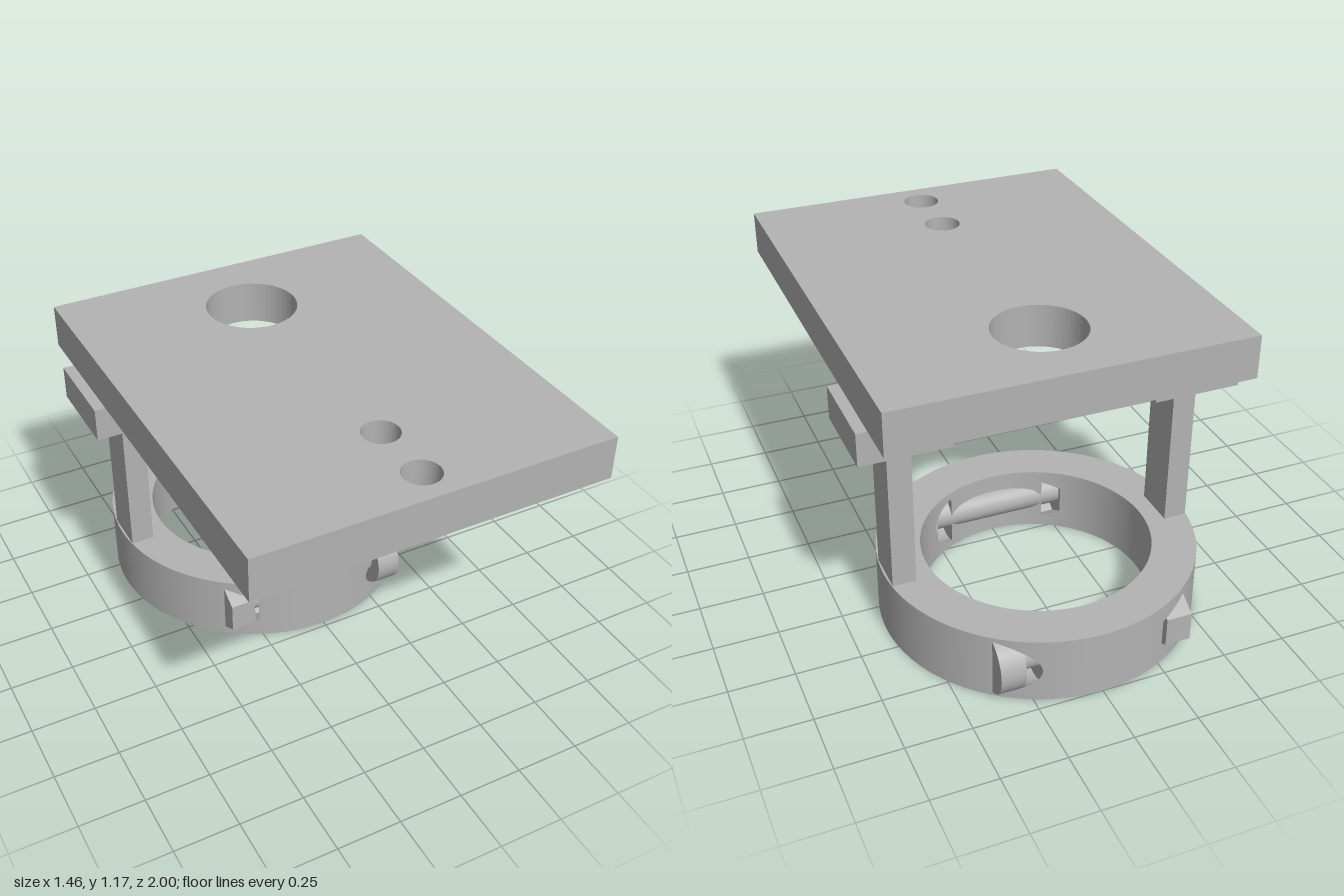
import * as THREE from 'three';

const R_OUT = 0.615, R_IN = 0.445, H = 0.264, MID = 0.132; // ring
const AXIS = 0.456;  // bolt axis distance from ring centre
const X_IN = 0.2, X_FACE = 0.28; // pocket floor, inner face of head and nut

// Bolt pockets: round at +x, hexagonal at -x; a = radius or apothem
const pockets = [
  { side: 1, a: 0.119, xOut: 0.376,
    half: d => Math.sqrt(Math.max(0, 0.119 ** 2 - d * d)),
    radius: () => 0.119 },
  { side: -1, a: 0.1, xOut: 0.38,
    half: d => 0.1155 - Math.abs(d) / Math.sqrt(3),
    radius: t => {
      const s = Math.PI / 3;
      return 0.1 / Math.cos(((t + s / 2) % s) - s / 2);
    } },
];
const chord = (R, z) => Math.sqrt(Math.max(0, R * R - z * z));

function fromTriangles(pos) {
  const g = new THREE.BufferGeometry();
  g.setAttribute('position', new THREE.Float32BufferAttribute(pos, 3));
  g.computeVertexNormals();
  return g;
}
const quad = (out, a, b, c, d) => out.push(...a, ...b, ...c, ...a, ...c, ...d);

// Cylindrical ring wall, built in columns that leave the pocket openings free
function wallGeometry(R, sign) {
  const spans = pockets.map(p => ({
    p, lo: Math.max(X_IN, chord(R, AXIS + p.a)), hi: Math.min(p.xOut, chord(R, AXIS - p.a)),
  }));
  const angles = [];
  for (let i = 0; i <= 96; i++) angles.push(-Math.PI + (i / 96) * 2 * Math.PI);
  for (const { p, lo, hi } of spans)
    for (let i = 0; i <= 24; i++) {
      const x = p.side * (lo + (hi - lo) * i / 24);
      for (const s of [1, -1]) angles.push(Math.atan2(x, s * chord(R, x)));
    }
  angles.sort((a, b) => a - b);
  const pos = [];
  const at = (t, y) => [R * Math.sin(t), y, R * Math.cos(t)];
  const strip = (t0, t1, a0, a1, b0, b1) => {
    const c = [at(t0, a0), at(t1, a1), at(t1, b1), at(t0, b0)];
    quad(pos, ...(sign > 0 ? c : c.reverse()));
  };
  for (let i = 0; i + 1 < angles.length; i++) {
    const t0 = angles[i], t1 = angles[i + 1];
    if (t1 - t0 < 1e-7) continue;
    const x = R * Math.sin((t0 + t1) / 2);
    const open = spans.find(s => x * s.p.side > s.lo && x * s.p.side < s.hi);
    if (!open) { strip(t0, t1, 0, 0, H, H); continue; }
    const h = t => Math.max(0, open.p.half(Math.abs(R * Math.cos(t)) - AXIS));
    strip(t0, t1, 0, 0, MID - h(t0), MID - h(t1));
    strip(t0, t1, MID + h(t0), MID + h(t1), H, H);
  }
  const g = fromTriangles(pos);
  const n = g.attributes.normal, v = g.attributes.position;
  for (let i = 0; i < n.count; i++) n.setXYZ(i, sign * v.getX(i) / R, 0, sign * v.getZ(i) / R);
  return g;
}

// Side lining and floor of one pocket, trimmed to the ring's thickness
function pocketGeometry(p) {
  const pos = [], N = 48;
  const zMin = chord(R_IN, X_IN), zMax = chord(R_OUT, X_IN);
  const point = i => {
    const t = (i % N) / N * Math.PI * 2, r = p.radius(t);
    const z = AXIS + r * Math.cos(t);
    const from = Math.max(X_IN, chord(R_IN, z));
    return { y: MID + r * Math.sin(t), z, from,
      to: Math.max(from, Math.min(X_FACE, chord(R_OUT, z))) };
  };
  for (let i = 0; i < N; i++) {
    const a = point(i), b = point(i + 1);
    quad(pos, [p.side * a.from, a.y, a.z], [p.side * a.to, a.y, a.z],
      [p.side * b.to, b.y, b.z], [p.side * b.from, b.y, b.z]);
    const floor = q => [p.side * X_IN, q.y, THREE.MathUtils.clamp(q.z, zMin, zMax)];
    pos.push(p.side * X_IN, MID, AXIS, ...floor(a), ...floor(b));
  }
  return fromTriangles(pos);
}

export function createModel() {
  const model = new THREE.Group();
  const grey = new THREE.MeshStandardMaterial({ color: 0xb3b3b3, side: THREE.DoubleSide });
  grey.name = 'grey';
  const add = (parent, name, geometry, x = 0, y = 0, z = 0) => {
    const m = new THREE.Mesh(geometry, grey);
    m.name = name;
    m.position.set(x, y, z);
    parent.add(m);
    return m;
  };

  // Top plate with one large and two small holes (shape y is -z)
  const plate = new THREE.Shape([[-0.69, -1], [0.69, -1], [0.69, 0.73], [-0.69, 0.73]]
    .map(([x, y]) => new THREE.Vector2(x, y)));
  for (const [z, r] of [[-0.386, 0.178], [0.605, 0.071], [0.866, 0.071]])
    plate.holes.push(new THREE.Path().absarc(0, -z, r, 0, Math.PI * 2, true));
  const plateGeometry = new THREE.ExtrudeGeometry(plate,
    { depth: 0.17, bevelEnabled: false, curveSegments: 32 });
  plateGeometry.rotateX(-Math.PI / 2);
  add(model, 'topPlate', plateGeometry, 0, 1, 0);

  // Posts and their mounting blocks
  for (const s of [1, -1]) {
    const side = s > 0 ? 'left' : 'right';
    add(model, side + 'Block', new THREE.BoxGeometry(0.342, 0.131, 0.342), s * 0.561, 0.9345, -0.383);
    add(model, side + 'Post', new THREE.BoxGeometry(0.091, 0.609, 0.172), s * 0.5605, 0.5645, -0.383);
  }

  // Clamp ring
  const clamp = new THREE.Group();
  clamp.name = 'clampRing';
  clamp.position.z = -0.385;
  model.add(clamp);
  add(clamp, 'ringOuterWall', wallGeometry(R_OUT, 1));
  add(clamp, 'ringInnerWall', wallGeometry(R_IN, -1));
  const cap = new THREE.RingGeometry(R_IN, R_OUT, 96);
  add(clamp, 'ringTop', cap, 0, H, 0).rotation.x = -Math.PI / 2;
  add(clamp, 'ringBottom', cap).rotation.x = Math.PI / 2;

  // Front and back bolts: shank, round head, hex nut
  const along = g => g.rotateZ(Math.PI / 2);
  const shank = along(new THREE.CylinderGeometry(0.06, 0.06, 0.67, 32));
  const head = along(new THREE.CylinderGeometry(0.119, 0.119, 0.096, 48));
  const nut = along(new THREE.CylinderGeometry(0.1155, 0.1155, 0.1, 6, 1, false, Math.PI / 6)).toNonIndexed();
  nut.computeVertexNormals();
  for (const s of [1, -1]) {
    const bolt = new THREE.Group();
    bolt.name = s > 0 ? 'frontBolt' : 'backBolt';
    clamp.add(bolt);
    add(bolt, 'shank', shank, -0.03, MID, s * AXIS);
    add(bolt, 'head', head, 0.328, MID, s * AXIS);
    add(bolt, 'nut', nut, -0.33, MID, s * AXIS);
    for (const p of pockets) {
      const g = pocketGeometry(p);
      if (s < 0) {
        g.rotateY(Math.PI);
        g.scale(-1, 1, 1);
        g.computeVertexNormals();
      }
      add(bolt, p.side > 0 ? 'headPocket' : 'nutPocket', g);
    }
  }
  return model;
}
